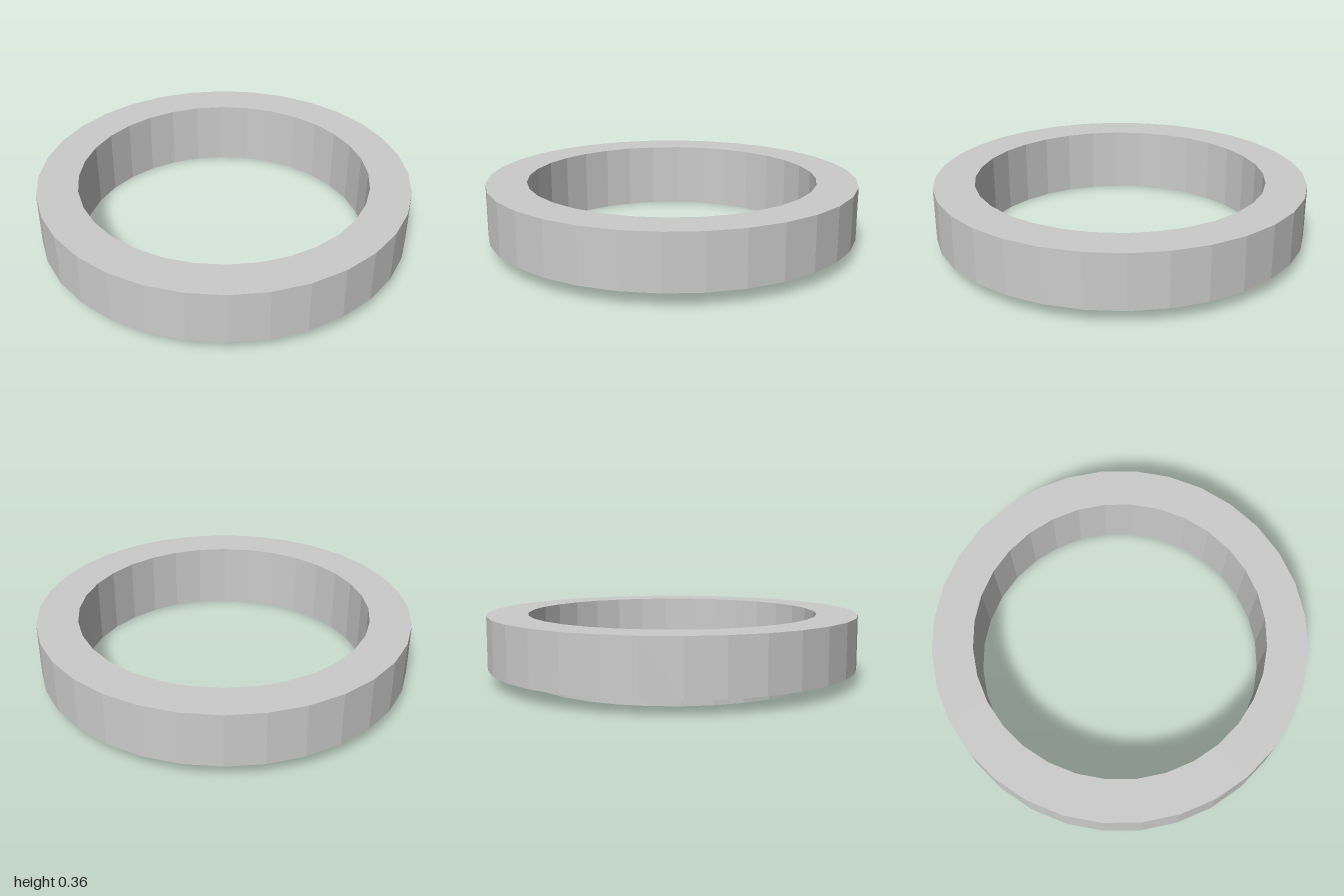
import * as THREE from 'three';

const SIDES = 32;
const OUTER = 1.003, INNER = 0.785;  // corner radii
const TOP = 0.36, SKIRT = 0.073;     // rim height, lower edge of the outer wall
const TURN = THREE.MathUtils.degToRad(6.75);

export function createModel() {
  const group = new THREE.Group();
  group.name = 'ring';
  const material = new THREE.MeshStandardMaterial({
    color: 0xcccccc, flatShading: true, side: THREE.DoubleSide,
  });

  // Each part is one thin faceted band swept around the axis
  const addBand = (name, from, to) => {
    const profile = [new THREE.Vector2(...from), new THREE.Vector2(...to)];
    const mesh = new THREE.Mesh(new THREE.LatheGeometry(profile, SIDES, TURN), material);
    mesh.name = name;
    group.add(mesh);
  };

  addBand('outerWall', [OUTER, SKIRT], [OUTER, TOP]);
  addBand('topRim', [OUTER, TOP], [INNER, TOP]);
  // The inner wall reaches the ground; the underside stays open
  addBand('innerWall', [INNER, TOP], [INNER, 0]);

  return group;
}
